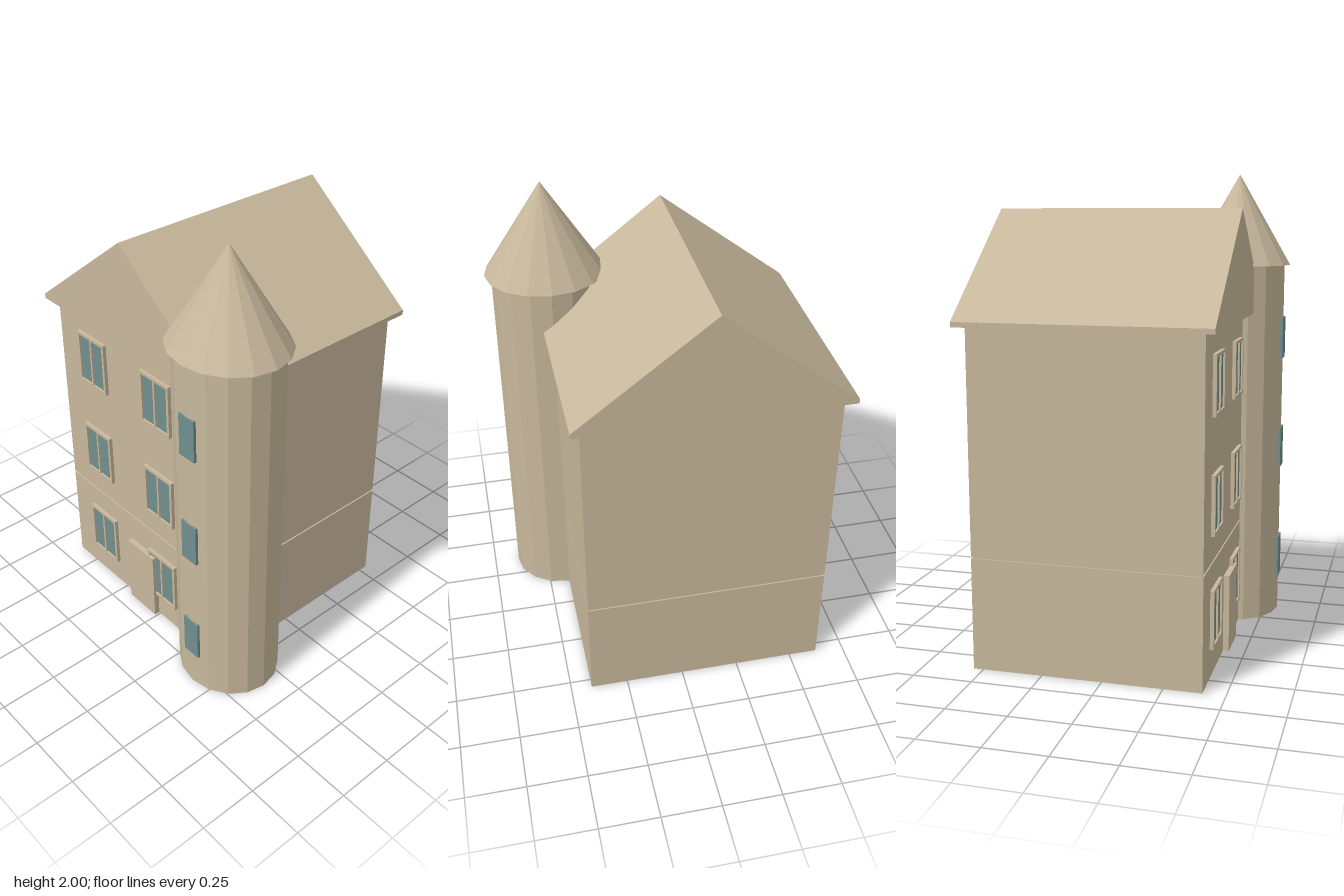
import * as THREE from 'three';

const wallMat = new THREE.MeshStandardMaterial({ color: 0xc8b89c, side: THREE.DoubleSide });
wallMat.name = 'sandstone';
const glassMat = new THREE.MeshStandardMaterial({ color: 0x708f8e });
glassMat.name = 'windowGlass';

// House body footprint
const X0 = -0.625, X1 = 0.41, Z0 = -0.542, Z1 = 0.407;
// Tower axis and half-widths
const TX = 0.409, TZ = 0.35, TRX = 0.227, TRZ = 0.207;

function add(parent, name, geometry, material) {
  const mesh = new THREE.Mesh(geometry, material);
  mesh.name = name;
  parent.add(mesh);
  return mesh;
}

// Box given by its two corners
function block(x0, x1, y0, y1, z0, z1) {
  return new THREE.BoxGeometry(x1 - x0, y1 - y0, z1 - z0)
    .translate((x0 + x1) / 2, (y0 + y1) / 2, (z0 + z1) / 2);
}

// Faceted normals for round parts
function faceted(geometry) {
  const flat = geometry.toNonIndexed();
  flat.computeVertexNormals();
  return flat;
}

function rectPath(PathType, x0, x1, y0, y1) {
  const p = new PathType();
  p.moveTo(x0, y0);
  p.lineTo(x1, y0);
  p.lineTo(x1, y1);
  p.lineTo(x0, y1);
  p.closePath();
  return p;
}

// Double window: frame with two openings and two panes
function makeWindow(x, y) {
  const group = new THREE.Group();
  group.name = 'window';
  const w = 0.0925, h = 0.122, border = 0.013, mullion = 0.005;
  const shape = rectPath(THREE.Shape, -w, w, -h, h);
  for (const s of [-1, 1]) {
    const a = s < 0 ? -w + border : mullion;
    const b = s < 0 ? -mullion : w - border;
    shape.holes.push(rectPath(THREE.Path, a, b, -h + border, h - border));
    add(group, 'pane', block(a, b, -h + border, h - border, 0, 0.008), glassMat);
  }
  add(group, 'windowFrame', new THREE.ExtrudeGeometry(shape, { depth: 0.016, bevelEnabled: false }), wallMat);
  group.position.set(x, y, Z1);
  return group;
}

export function createModel() {
  const model = new THREE.Group();
  model.name = 'houseWithTower';

  // Ground storey, open underneath: four walls and a ceiling
  const ground = block(X0, X1, 0, 0.466, Z0, Z1);
  const kept = ground.groups.filter((g) => g.materialIndex !== 3);
  const index = kept.flatMap((g) => Array.from(ground.index.array.slice(g.start, g.start + g.count)));
  ground.setIndex(index);
  ground.clearGroups();
  add(model, 'groundStorey', ground, wallMat);

  // Narrow groove between the storeys, then the upper storeys
  const inset = 0.006;
  add(model, 'storeyGroove', block(X0 + inset, X1 - inset, 0.466, 0.475, Z0 + inset, Z1 - inset), wallMat);
  add(model, 'upperStoreys', block(X0, X1, 0.475, 1.4, Z0, Z1), wallMat);

  // Gabled roof with a thin eave edge
  const gable = new THREE.Shape([
    [-0.665, 1.397], [0.45, 1.397], [0.45, 1.418], [-0.1075, 1.85], [-0.665, 1.418],
  ].map(([x, y]) => new THREE.Vector2(x, y)));
  const roof = new THREE.ExtrudeGeometry(gable, { depth: 1.035, bevelEnabled: false });
  add(model, 'roof', roof.translate(0, 0, -0.585), wallMat);

  // Front windows, two per storey
  for (const y of [0.243, 0.709, 1.182]) {
    for (const x of [-0.391, 0.037]) model.add(makeWindow(x, y));
  }

  // Front door
  add(model, 'door', block(-0.19, -0.01, 0, 0.333, Z1 - 0.005, Z1 + 0.025), wallMat);

  // Sixteen-sided corner tower, open underneath
  const shaft = new THREE.CylinderGeometry(1, 1, 1.603, 16, 1, true);
  shaft.scale(TRX, 1, TRZ).translate(TX, 1.603 / 2, TZ);
  add(model, 'towerShaft', faceted(shaft), wallMat);

  // Pointed tower roof
  const spire = new THREE.ConeGeometry(1, 0.397, 16);
  spire.scale(0.256, 1, 0.232).translate(TX, 1.603 + 0.397 / 2, TZ);
  add(model, 'towerRoof', faceted(spire), wallMat);

  // Tower windows
  for (const y of [0.259, 0.775, 1.277]) {
    add(model, 'towerWindow', block(TX - 0.043, TX + 0.043, y - 0.092, y + 0.092, 0.54, 0.561), glassMat);
  }

  return model;
}
